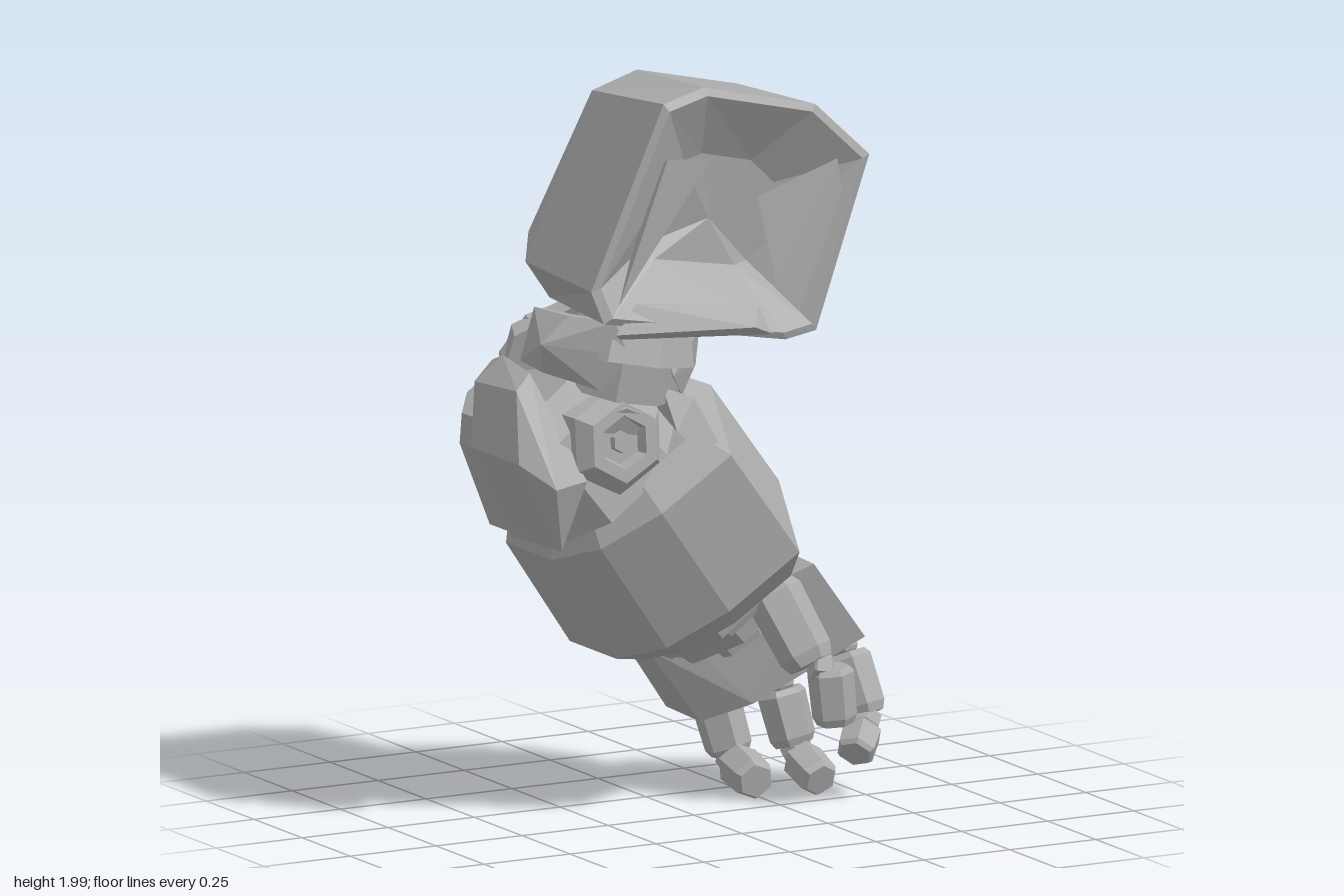
import * as THREE from 'three';
import { ConvexGeometry } from 'three/addons/geometries/ConvexGeometry.js';

const V = (p) => new THREE.Vector3(...p);

export function createModel() {
  const arm = new THREE.Group();
  arm.name = 'mechanicalArm';
  const grey = new THREE.MeshStandardMaterial({ color: 0xacacac, flatShading: true });
  grey.name = 'grey armour';

  const add = (name, geo) => {
    const mesh = new THREE.Mesh(geo, grey);
    mesh.name = name;
    arm.add(mesh);
    return mesh;
  };
  const hull = (name, pts) => add(name, new ConvexGeometry(pts.map(V)));

  // Turn a mesh's y axis along the line a-b
  const orient = (mesh, a, b) => {
    const dir = V(b).sub(V(a)).normalize();
    mesh.quaternion.setFromUnitVectors(new THREE.Vector3(0, 1, 0), dir);
    return mesh;
  };
  const bar = (name, a, b, r0, r1, sides = 6) => {
    const geo = new THREE.CylinderGeometry(r1, r0, V(a).distanceTo(V(b)), sides);
    orient(add(name, geo), a, b).position.copy(V(a).add(V(b)).multiplyScalar(0.5));
  };
  // Finger segment with bevelled ends
  const segment = (name, a, b, r) => {
    const len = V(a).distanceTo(V(b));
    const profile = [[0, 0], [r * 0.82, 0], [r, len * 0.1], [r * 0.95, len * 0.86], [r * 0.78, len], [0, len]];
    const geo = new THREE.LatheGeometry(profile.map((p) => new THREE.Vector2(...p)), 6);
    orient(add(name, geo), a, b).position.copy(V(a));
  };

  // ---- Shoulder shell: rings from the back face, round the rim, into the shallow front recess
  const cap = [[-0.33, 1.58, -0.165], [-0.28, 1.8, -0.06], [-0.2, 1.82, -0.05], [0.02, 1.79, -0.065],
    [0.05, 1.72, -0.1], [0, 1.54, -0.165], [-0.03, 1.5, -0.155], [-0.3, 1.5, -0.15]];
  const back = [[-0.42, 1.55, -0.11], [-0.3, 1.87, -0.015], [-0.2, 1.89, -0.01], [0.06, 1.85, -0.025],
    [0.12, 1.77, -0.06], [0.06, 1.48, -0.135], [-0.02, 1.39, -0.1], [-0.36, 1.41, -0.09]];
  const mid = [[-0.49, 1.5, 0], [-0.33, 1.94, 0.06], [-0.21, 1.985, 0.08], [0.12, 1.9, 0.01],
    [0.21, 1.81, 0.01], [0.12, 1.42, -0.09], [0.04, 1.35, -0.04], [-0.42, 1.4, 0]];
  const front = [[-0.5, 1.49, 0.36], [-0.32, 1.97, 0.415], [-0.2, 2, 0.41], [0.13, 1.92, 0.4],
    [0.295, 1.77, 0.385], [0.16, 1.32, 0.35], [0.06, 1.31, 0.37], [-0.48, 1.41, 0.39]];
  const centre = [-0.12, 1.65];
  const inset = (ring, s, dz) => ring.map((p) => [
    centre[0] + (p[0] - centre[0]) * s, centre[1] + (p[1] - centre[1]) * s, p[2] + dz]);
  const rings = [cap, back, mid, front, inset(front, 0.94, 0.01), inset(front, 0.45, -0.09)];
  const tris = [];
  const n = 8;
  for (let k = 0; k < rings.length - 1; k++) {
    for (let i = 0; i < n; i++) {
      const j = (i + 1) % n;
      const [a, b, c, d] = [rings[k][i], rings[k][j], rings[k + 1][j], rings[k + 1][i]];
      tris.push(a, d, c, a, c, b);
    }
  }
  const last = rings[rings.length - 1];
  for (let i = 0; i < n; i++) {
    const j = (i + 1) % n;
    tris.push([-0.15, 1.6, -0.17], cap[i], cap[j], [-0.12, 1.63, 0.29], last[j], last[i]);
  }
  const shell = new THREE.BufferGeometry();
  shell.setAttribute('position', new THREE.Float32BufferAttribute(tris.flat(), 3));
  shell.computeVertexNormals();
  add('shoulderShell', shell);

  // Folded flaps inside the recess
  hull('recessFlapRight', [[0, 1.68, 0.33], [0.2, 1.77, 0.39], [0.22, 1.68, 0.38], [0.1, 1.38, 0.37],
    [0.04, 1.45, 0.36], [0.08, 1.52, 0.28], [0.17, 1.6, 0.28]]);
  hull('recessFlapLeft', [[-0.3, 1.82, 0.4], [-0.15, 1.8, 0.36], [-0.29, 1.77, 0.39], [-0.43, 1.45, 0.38],
    [-0.38, 1.5, 0.32], [-0.28, 1.78, 0.3]]);
  hull('recessSill', [[-0.45, 1.38, 0.4], [-0.42, 1.36, 0.37], [-0.38, 1.45, 0.38], [-0.05, 1.36, 0.41],
    [0.02, 1.33, 0.38], [0, 1.4, 0.34], [-0.15, 1.42, 0.3]]);

  // ---- Upper arm and the clamps round it
  bar('upperArm', [-0.19, 1.5, 0.08], [-0.24, 1.15, 0.04], 0.15, 0.15, 8);
  bar('upperArmCollar', [-0.21, 1.36, 0.06], [-0.23, 1.24, 0.06], 0.15, 0.18, 8);
  hull('clampLeft', [[-0.08, 1.34, 0.08], [-0.04, 1.3, 0.1], [-0.04, 1.2, 0.08], [-0.09, 1.13, 0.1],
    [-0.16, 1.2, 0.18], [-0.1, 1.3, -0.1], [-0.08, 1.18, -0.1], [-0.18, 1.32, 0.15]]);
  hull('clampRight', [[-0.42, 1.37, 0.1], [-0.49, 1.3, 0.08], [-0.47, 1.22, 0.05], [-0.36, 1.18, 0.15],
    [-0.3, 1.27, 0.2], [-0.33, 1.36, 0.18], [-0.42, 1.36, -0.08], [-0.45, 1.22, -0.1]]);
  hull('clampBack', [[-0.15, 1.36, -0.12], [-0.28, 1.36, -0.12], [-0.14, 1.31, -0.2], [-0.3, 1.3, -0.19],
    [-0.1, 1.18, -0.2], [-0.33, 1.15, -0.18], [-0.12, 1.14, -0.06], [-0.3, 1.2, -0.04]]);
  hull('elbowBlock', [[-0.18, 1.17, 0.16], [-0.1, 1.14, 0.18], [-0.16, 1.06, 0.2], [-0.1, 1.01, 0.21],
    [-0.04, 1.02, 0.2], [-0.04, 1.1, 0.08], [-0.16, 1.14, 0]]);

  // ---- Elbow pivot with a stepped hub at each end
  const pivotFront = [-0.3, 1.04, 0.14], pivotBack = [-0.27, 1.2, -0.24];
  bar('elbowPivot', pivotFront, pivotBack, 0.1, 0.16, 8);
  const hub = (name, at, from, s) => {
    const profile = [[0.17, -0.08], [0.14, 0], [0.105, 0.04], [0.07, 0.04], [0.06, 0.01],
      [0.03, 0.01], [0.028, 0.03], [0, 0.03]];
    const geo = new THREE.LatheGeometry(profile.map(([r, h]) => new THREE.Vector2(r * s, h)), 6);
    orient(add(name, geo), from, at).position.copy(V(at));
  };
  hub('elbowHubFront', pivotFront, [-0.3, 1.02, -0.1], 1);
  hub('elbowHubBack', pivotBack, pivotFront, 1.2);

  // ---- Forearm: cross-sections placed along a slanting axis
  const along = (u, v, z) => [-0.28 + 0.6 * u + 0.8 * v, 1.12 - 0.8 * u + 0.6 * v, z];
  const casing = [[-0.25, -0.39], [0.06, -0.41], [0.2, -0.31], [0.3, -0.13], [0.13, 0.22], [-0.1, 0.19],
    [-0.26, 0.1], [-0.34, -0.04], [-0.34, -0.28]];
  const casingRing = (u, s, dz) => casing.map(([v, z]) => along(u, v * s, -0.1 + (z + 0.1) * s + dz));
  hull('forearmCasing', [...casingRing(0.17, 0.82, 0.01), ...casingRing(0.26, 1, 0.01),
    ...casingRing(0.61, 1.02, -0.02), ...casingRing(0.69, 0.8, -0.04)]);
  const section = (u, v0, v1, z0, z1, b, front = b) => [
    [v0 + b, z0], [v1 - b, z0], [v1, z0 + b], [v1, z1 - b], [v1 - b, z1], [v0 + front, z1],
    [v0, z1 - front], [v0, z0 + b],
  ].map(([v, z]) => along(u, v, z));
  hull('elbowCowl', [
    ...section(-0.13, -0.25, 0, -0.27, 0.06, 0.06), ...section(-0.05, -0.29, 0.07, -0.33, 0.12, 0.08),
    ...section(0.2, -0.34, 0.12, -0.39, 0.16, 0.1, 0.13)]);
  hull('elbowGuard', [[-0.57, 1, 0.11], [-0.57, 1, -0.14], [-0.55, 1.18, 0.06], [-0.56, 1.17, -0.14],
    [-0.5, 1.24, -0.1], [-0.5, 1.22, 0.04], [-0.5, 0.94, 0.18], [-0.44, 0.76, 0.1], [-0.42, 0.74, -0.2],
    [-0.42, 1.18, -0.3], [-0.4, 0.95, 0.16]]);
  bar('backBoss', [-0.21, 0.85, -0.36], [-0.21, 0.85, -0.425], 0.12, 0.11, 8);

  // ---- Wrist bands, stepping in toward the hand, round a solid core
  [[0.67, 0.05, 0.25, -0.41, 0.07], [0.72, 0.03, 0.22, -0.375, 0.04], [0.75, 0.06, 0.19, -0.34, 0]]
    .forEach(([u, t, w, z0, z1], i) => hull('wristBand' + (i + 1), [
      ...section(u, -w, w - 0.06, z0, z1, 0.12), ...section(u + t, -w + 0.02, w - 0.08, z0 + 0.02, z1 - 0.02, 0.11)]));
  bar('wristCore', along(0.6, -0.01, -0.18), along(0.85, -0.01, -0.19), 0.16, 0.12, 8);

  // ---- Hand
  hull('palm', [[-0.04, 0.41, -0.17], [0.02, 0.46, -0.14], [0.36, 0.62, -0.02], [0.52, 0.41, -0.04],
    [0.24, 0.25, -0.12], [0.13, 0.2, -0.2], [-0.03, 0.42, -0.34], [0.03, 0.46, -0.33], [0.37, 0.62, -0.17],
    [0.53, 0.42, -0.19], [0.2, 0.24, -0.36], [0.12, 0.21, -0.36]]);

  // Each digit is a chain of segments: [joint points], [radii]
  const digits = {
    thumb: [[[0.2, 0.6, -0.03], [0.22, 0.58, 0], [0.285, 0.39, 0.1], [0.335, 0.38, 0.11], [0.35, 0.23, 0.11]],
      [0.06, 0.075, 0.04, 0.06]],
    outerFinger: [[[0.48, 0.42, -0.12], [0.49, 0.36, -0.09], [0.515, 0.21, -0.03], [0.49, 0.18, 0], [0.44, 0.13, 0.05]],
      [0.045, 0.065, 0.045, 0.055]],
    middleFinger: [[[0.33, 0.34, -0.17], [0.34, 0.27, -0.16], [0.365, 0.13, -0.13], [0.37, 0.1, -0.11], [0.37, 0.06, 0]],
      [0.045, 0.065, 0.045, 0.055]],
    innerFinger: [[[0.19, 0.3, -0.26], [0.21, 0.23, -0.26], [0.24, 0.1, -0.24], [0.24, 0.08, -0.21], [0.22, 0.06, -0.07]],
      [0.045, 0.065, 0.045, 0.058]],
  };
  for (const [name, [joints, radii]] of Object.entries(digits)) {
    radii.forEach((r, i) => segment(name + 'Segment' + (i + 1), joints[i], joints[i + 1], r));
  }
  return arm;
}
